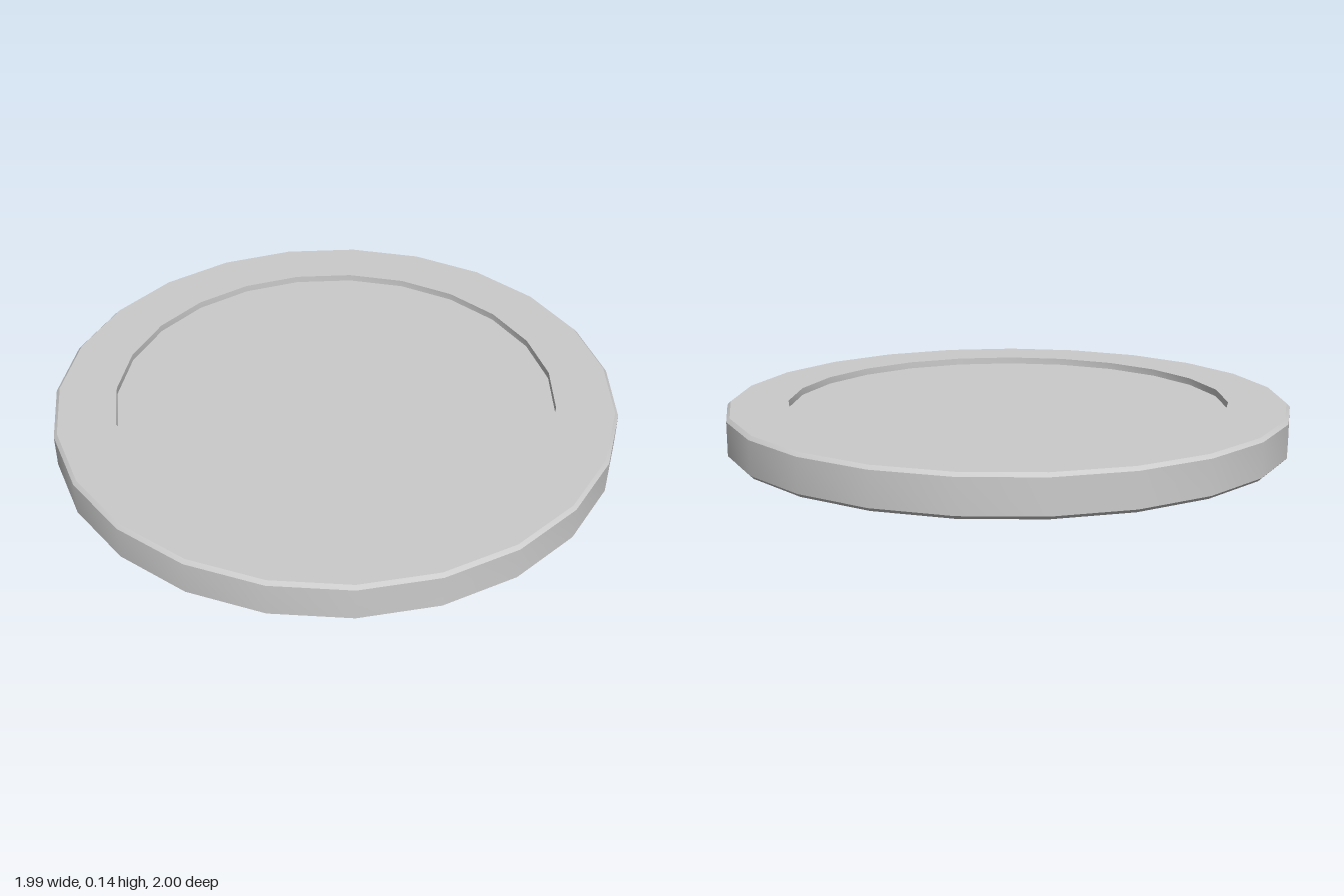
import * as THREE from 'three';
import { toCreasedNormals } from 'three/addons/utils/BufferGeometryUtils.js';

const SIDES = 23;
const OUTER = 1.002, INNER = 0.785;   // rim radii
const HEIGHT = 0.142, RECESS = 0.025, BEVEL = 0.012;

export function createModel() {
  const group = new THREE.Group();
  group.name = 'disc';
  const material = new THREE.MeshStandardMaterial({ color: 0xcccccc });

  // Raised rim: bevelled outside, with a sharp lip down to the panel on both faces
  const profile = [
    [INNER, RECESS], [INNER, 0],
    [OUTER - BEVEL, 0], [OUTER, BEVEL],
    [OUTER, HEIGHT - BEVEL], [OUTER - BEVEL, HEIGHT],
    [INNER, HEIGHT], [INNER, HEIGHT - RECESS],
  ].map(([r, y]) => new THREE.Vector2(r, y));
  const rim = new THREE.Mesh(
    toCreasedNormals(new THREE.LatheGeometry(profile, SIDES, Math.PI / 2), 0.6), material);
  rim.name = 'rim';

  // Flat panel recessed inside the rim, top and bottom
  const panel = new THREE.Mesh(
    new THREE.CylinderGeometry(INNER, INNER, HEIGHT - 2 * RECESS, SIDES, 1, false, Math.PI / 2), material);
  panel.position.y = HEIGHT / 2;
  panel.name = 'panel';

  group.add(rim, panel);
  // An odd number of sides reaches further on +x, so shift to centre the bounds
  group.position.x = -OUTER * (1 - Math.cos(Math.PI / SIDES)) / 2;
  return group;
}
